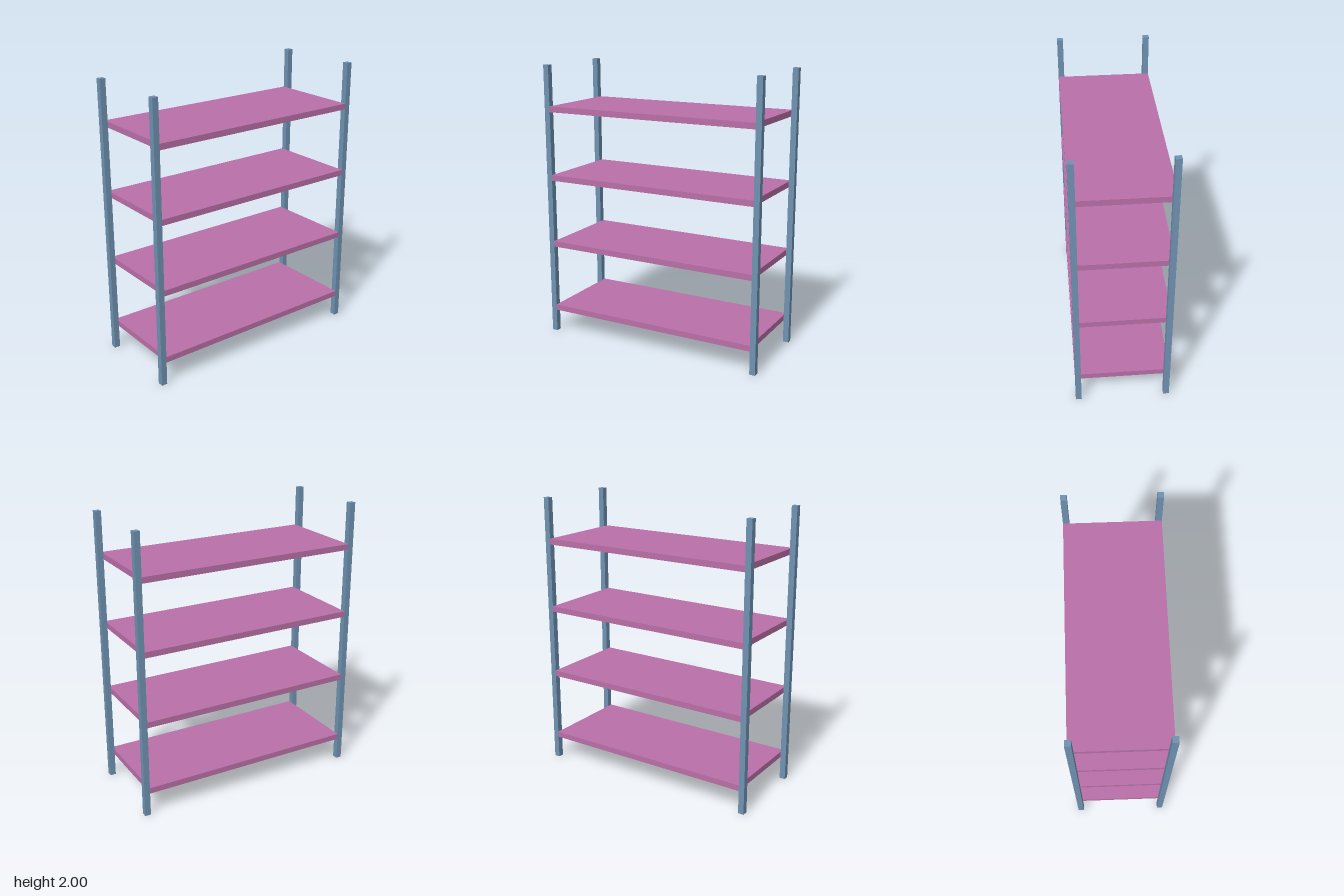
import * as THREE from 'three';

export function createModel() {
  const group = new THREE.Group();
  group.name = 'shelvingUnit';

  const T = 1 / 24; // post width and board thickness
  const halfW = 20 / 24, halfD = 8 / 24, height = 2;
  const postMaterial = new THREE.MeshStandardMaterial({ color: 0x7093b2 });
  const shelfMaterial = new THREE.MeshStandardMaterial({ color: 0xba70a8 });

  function addBox(name, size, position, material) {
    const mesh = new THREE.Mesh(new THREE.BoxGeometry(...size), material);
    mesh.name = name;
    mesh.position.set(...position);
    group.add(mesh);
  }

  // Corner posts
  for (const [side, sx] of [['Left', 1], ['Right', -1]]) {
    for (const [end, sz] of [['front', 1], ['back', -1]]) {
      addBox(`${end}${side}Post`, [T, height, T],
        [sx * (halfW - T / 2), height / 2, sz * (halfD - T / 2)], postMaterial);
    }
  }

  // Shelves fitted between the left and right posts, full depth
  for (let i = 0; i < 4; i++) {
    addBox(`shelf${i + 1}`, [2 * (halfW - T), T, 2 * halfD],
      [0, 4.5 / 24 + i * 0.5, 0], shelfMaterial);
  }

  return group;
}
